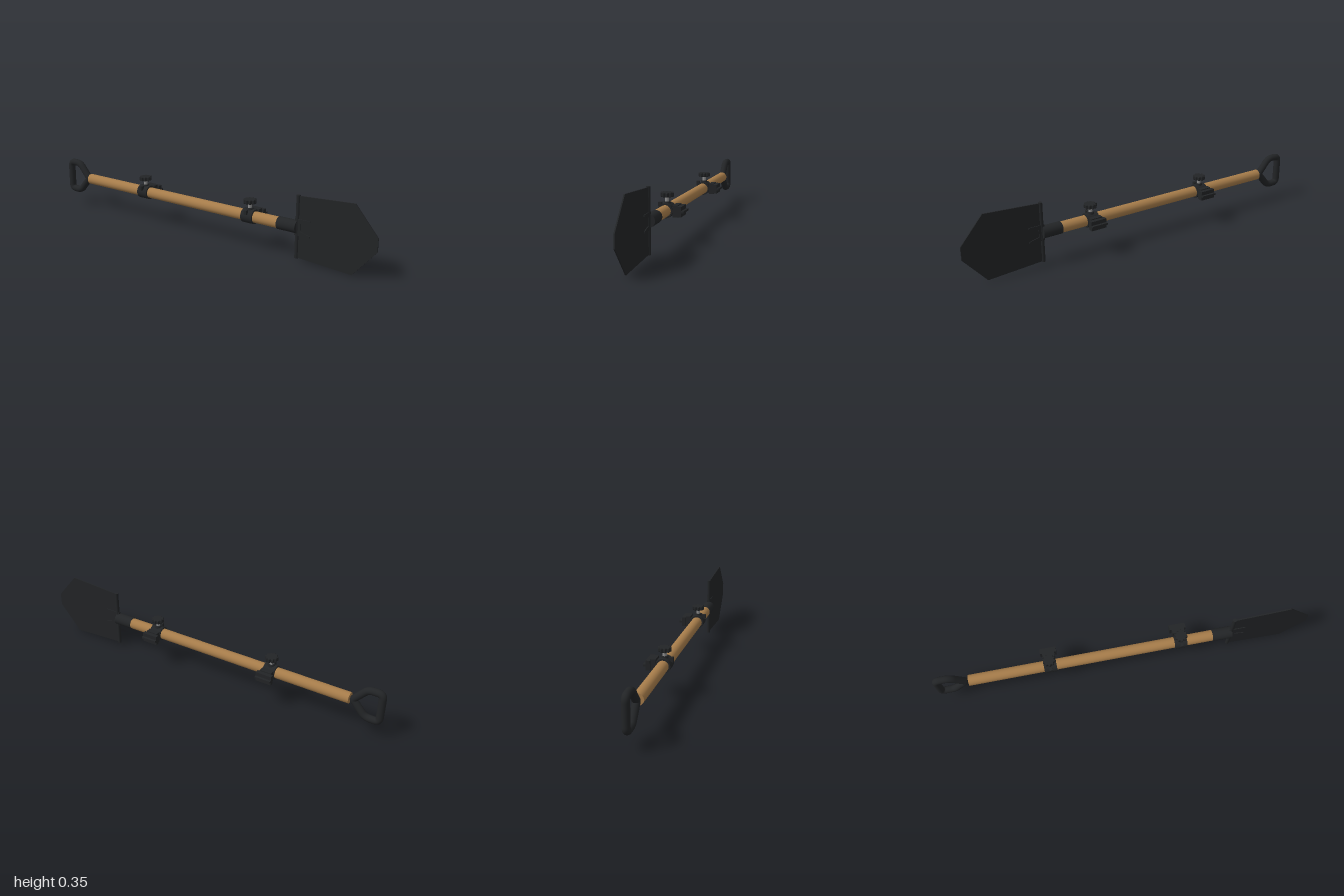
import * as THREE from 'three';

const AX = -0.027, AY = 0.177; // shaft axis
const mat = (color) => new THREE.MeshStandardMaterial({ color });
const black = mat(0x222426), wood = mat(0xa67c4a), steel = mat(0x8c8c8c);

function add(parent, name, geometry, material, x = 0, y = 0, z = 0) {
  const mesh = new THREE.Mesh(geometry, material);
  mesh.name = name;
  mesh.position.set(x, y, z);
  parent.add(mesh);
  return mesh;
}

const alongZ = (rFront, rBack, length, sides = 32) =>
  new THREE.CylinderGeometry(rFront, rBack, length, sides).rotateX(Math.PI / 2);

// Flat plate drawn in (z, y), with its thickness along x
function plate(points, thickness) {
  const shape = new THREE.Shape(points.map(([z, y]) => new THREE.Vector2(-z, y)));
  return new THREE.ExtrudeGeometry(shape, { depth: thickness, bevelEnabled: false })
    .translate(0, 0, -thickness / 2).rotateY(Math.PI / 2);
}

// Scalloped thumb-wheel
function wheelGeometry() {
  const shape = new THREE.Shape();
  const n = 80;
  for (let i = 0; i < n; i++) {
    const a = (i / n) * Math.PI * 2;
    const r = 0.0305 + 0.0035 * Math.cos(a * 10);
    if (i) shape.lineTo(r * Math.cos(a), r * Math.sin(a));
    else shape.moveTo(r * Math.cos(a), r * Math.sin(a));
  }
  return new THREE.ExtrudeGeometry(shape, {
    depth: 0.016, bevelThickness: 0.003, bevelSize: 0.002, bevelOffset: -0.002, bevelSegments: 1,
  }).rotateX(-Math.PI / 2);
}

// Clamp around the shaft with a thumb screw above and a rail mount on the left
function makeClamp(z) {
  const clamp = new THREE.Group();
  clamp.name = 'clamp';
  clamp.position.z = z;
  add(clamp, 'clampRing', alongZ(0.037, 0.037, 0.066), black);
  add(clamp, 'screwBoss', new THREE.CylinderGeometry(0.017, 0.02, 0.014, 20), black, 0, 0.036);
  add(clamp, 'screwStem', new THREE.CylinderGeometry(0.01, 0.01, 0.04, 16), steel, 0, 0.055);
  add(clamp, 'thumbWheel', wheelGeometry(), black, 0, 0.069, 0);
  add(clamp, 'sideLug', new THREE.BoxGeometry(0.018, 0.023, 0.016), black, -0.035, 0.027);
  add(clamp, 'mountNeck', new THREE.BoxGeometry(0.03, 0.036, 0.05), black, 0.037, 0);
  add(clamp, 'mountBase', new THREE.BoxGeometry(0.026, 0.06, 0.064), black, 0.05, 0);
  add(clamp, 'mountFace', new THREE.BoxGeometry(0.022, 0.05, 0.086), black, 0.073, 0);
  add(clamp, 'mountRail', new THREE.BoxGeometry(0.014, 0.01, 0.086), black, 0.09, 0);
  return clamp;
}

// D-shaped grip: rounded closed loop in the (z, y) plane
function gripGeometry() {
  const corners = [[-0.835, 0], [-0.905, 0.081], [-0.978, 0.081], [-0.978, -0.081], [-0.905, -0.081]]
    .map(([z, y]) => new THREE.Vector3(0, y, z));
  const path = new THREE.CurvePath();
  const n = corners.length;
  const ends = corners.map((c, i) => {
    const toward = (p) => c.clone().add(p.clone().sub(c).setLength(i ? 0.026 : 0.01));
    return [toward(corners[(i + n - 1) % n]), toward(corners[(i + 1) % n])];
  });
  corners.forEach((c, i) => {
    path.add(new THREE.QuadraticBezierCurve3(ends[i][0], c, ends[i][1]));
    path.add(new THREE.LineCurve3(ends[i][1], ends[(i + 1) % n][0]));
  });
  return new THREE.TubeGeometry(path, 120, 0.019, 16, true);
}

export function createModel() {
  const model = new THREE.Group();
  model.name = 'shovel';
  const body = new THREE.Group();
  body.name = 'shovelBody';
  body.position.set(AX, AY, 0);
  model.add(body);

  // Wooden shaft and rear grip
  add(body, 'shaft', alongZ(0.029, 0.029, 1.36), wood, 0, 0, -0.14);
  add(body, 'grip', gripGeometry(), black);

  // Pointed blade with rolled rear edge
  const outline = [[0.58, 0.156], [0.88, 0.174], [1, 0.034], [1, -0.034], [0.88, -0.174], [0.58, -0.156]];
  add(body, 'blade', plate(outline, 0.006), black);
  add(body, 'bladeRearEdge', new THREE.CylinderGeometry(0.01, 0.01, 0.32, 12), black, 0, 0, 0.582);

  // Socket with tapering tang on the blade
  add(body, 'socket', alongZ(0.032, 0.032, 0.105), black, 0, 0, 0.5305);
  const tang = [[0.57, 0.042], [0.655, 0.042], [0.655, 0.034], [0.6, 0.02],
    [0.6, -0.02], [0.655, -0.034], [0.655, -0.042], [0.57, -0.042]];
  add(body, 'tang', plate(tang, 0.014), black);

  for (const z of [0.305, -0.39]) body.add(makeClamp(z));
  return model;
}
